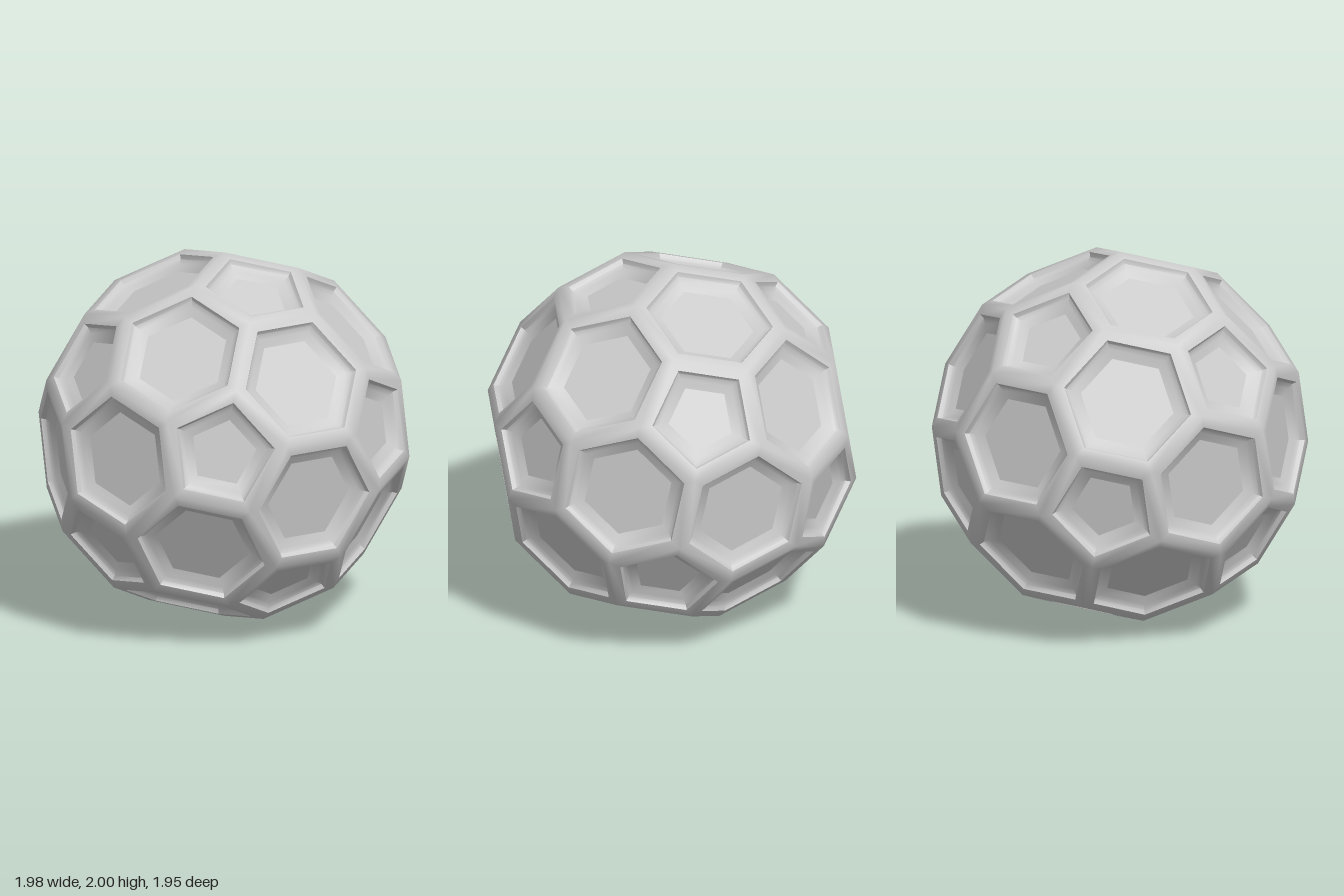
import * as THREE from 'three';
import { toCreasedNormals } from 'three/addons/utils/BufferGeometryUtils.js';

const AZIMUTH = THREE.MathUtils.degToRad(35);
const TILT = Math.acos(0.9392); // puts one corner of the solid at the very top

// Cross-section of a face from its edge inward: [inset from edge, depth]
const FRAME = [[0, 0], [0.053, 0]];
const RECESS = [[0.053, 0], [0.064, 0.024], [0.09, 0.04], [0.133, 0.06]];

// The twelve five-fold axes of an icosahedron
function fiveFoldAxes() {
  const axes = [new THREE.Vector3(0, 1, 0)];
  const s = 2 / Math.sqrt(5);
  for (let k = 0; k < 5; k++) {
    const a = Math.PI + (k * 2 * Math.PI) / 5;
    axes.push(new THREE.Vector3(s * Math.sin(a), 1 / Math.sqrt(5), s * Math.cos(a)));
  }
  axes.push(...axes.map((v) => v.clone().negate()));
  const turn = new THREE.Euler(TILT, AZIMUTH, 0, 'YXZ');
  return axes.map((v) => v.applyEuler(turn));
}

// Corners sorted counter-clockwise as seen from outside, with centre and apothem
function makeFace(corners) {
  const center = new THREE.Vector3();
  corners.forEach((c) => center.addScaledVector(c, 1 / corners.length));
  const normal = center.clone().normalize();
  const u = corners[0].clone().sub(center).normalize();
  const v = normal.clone().cross(u);
  const angle = (c) => {
    const d = c.clone().sub(center);
    return Math.atan2(d.dot(v), d.dot(u));
  };
  const sorted = corners.map((c) => [angle(c), c]).sort((a, b) => a[0] - b[0]).map((e) => e[1]);
  const apothem = sorted[0].clone().add(sorted[1]).multiplyScalar(0.5).distanceTo(center);
  return { corners: sorted, center, normal, apothem };
}

// Twelve pentagons and twenty hexagons of a truncated icosahedron
function makeFaces() {
  const axes = fiveFoldAxes();
  const near = (a, b) => a !== b && a.dot(b) > 0.4;
  const corner = (a, b) => a.clone().multiplyScalar(2).add(b).normalize();
  const faces = axes.map((a) => makeFace(axes.filter((b) => near(a, b)).map((b) => corner(a, b))));
  axes.forEach((a, i) => axes.forEach((b, j) => axes.forEach((c, k) => {
    if (i < j && j < k && near(a, b) && near(b, c) && near(a, c)) {
      faces.push(makeFace([corner(a, b), corner(b, a), corner(b, c), corner(c, b), corner(c, a), corner(a, c)]));
    }
  })));
  return faces;
}

// Face outline moved inward and sunk below the face plane
function outline(face, [inset, depth]) {
  return face.corners.map((c) => face.center.clone()
    .lerp(c, 1 - inset / face.apothem)
    .addScaledVector(face.normal, -depth));
}

function geometryFrom(points) {
  return new THREE.BufferGeometry().setFromPoints(points);
}

// Bands of quads joining successive outlines of a profile
function bands(faces, profile) {
  const points = [];
  for (const face of faces) {
    const rings = profile.map((p) => outline(face, p));
    for (let r = 0; r + 1 < rings.length; r++) {
      const [outer, inner] = [rings[r], rings[r + 1]];
      outer.forEach((a, i) => {
        const n = (i + 1) % outer.length;
        points.push(a, outer[n], inner[n], a, inner[n], inner[i]);
      });
    }
  }
  return toCreasedNormals(geometryFrom(points), 0.82);
}

// Flat plates closing the recesses
function plates(faces) {
  const points = [];
  for (const face of faces) {
    const rim = outline(face, RECESS[RECESS.length - 1]);
    for (let i = 1; i + 1 < rim.length; i++) points.push(rim[0], rim[i], rim[i + 1]);
  }
  const geometry = geometryFrom(points);
  geometry.computeVertexNormals();
  return geometry;
}

export function createModel() {
  const group = new THREE.Group();
  group.name = 'panelledBall';
  const material = new THREE.MeshStandardMaterial({ color: 0xcccccc });
  const faces = makeFaces();
  const add = (name, geometry) => {
    const mesh = new THREE.Mesh(geometry, material);
    mesh.name = name;
    mesh.position.y = 1;
    group.add(mesh);
  };
  add('frame', bands(faces, FRAME));
  add('recessWalls', bands(faces, RECESS));
  add('pentagonPlates', plates(faces.slice(0, 12)));
  add('hexagonPlates', plates(faces.slice(12)));
  return group;
}
